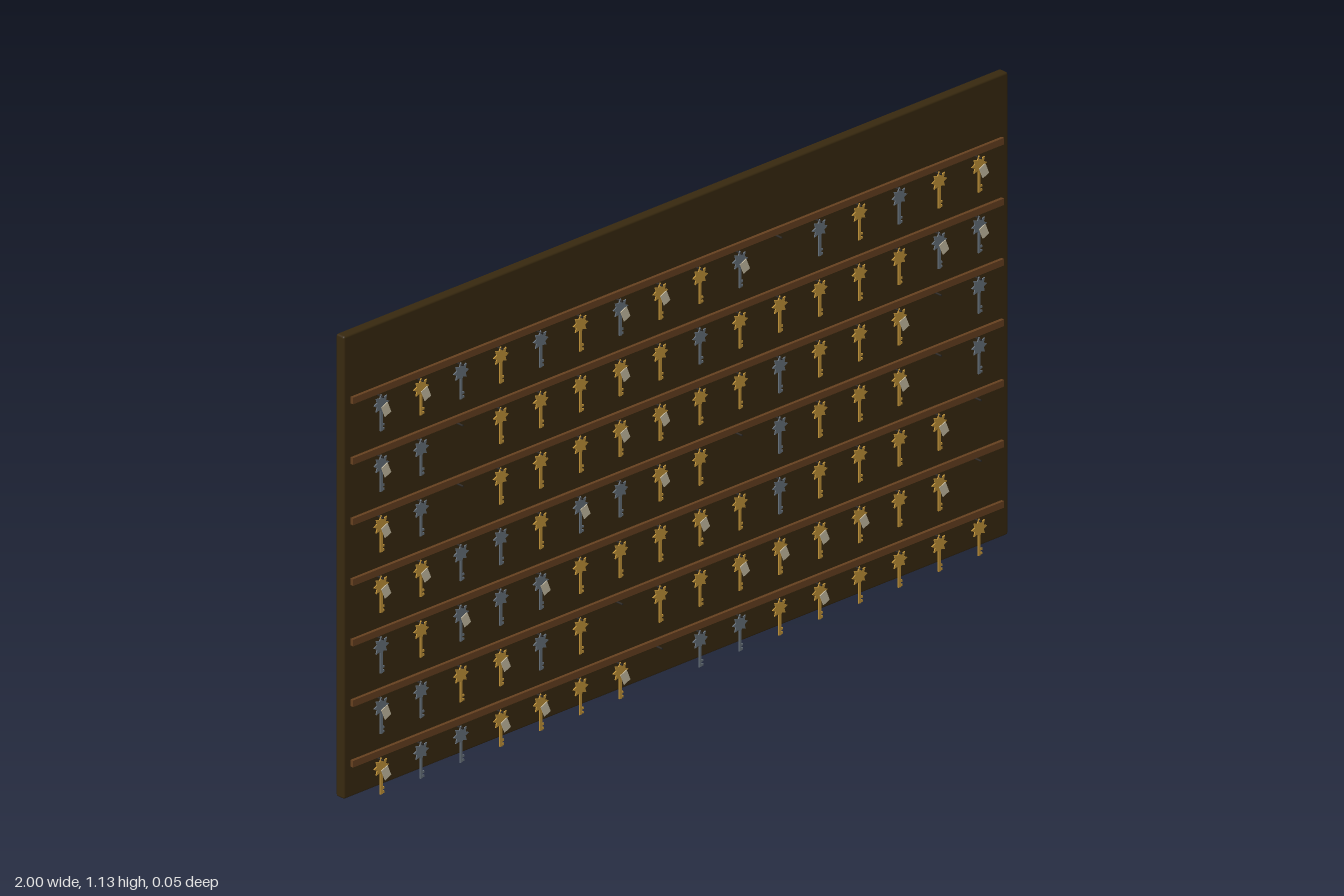
import * as THREE from 'three';
import { RoundedBoxGeometry } from 'three/addons/geometries/RoundedBoxGeometry.js';

const mat = (name, color) => {
  const m = new THREE.MeshStandardMaterial({ color });
  m.name = name;
  return m;
};

// One letter per hook: g brass key, s steel key, capital = with paper tag, dot = empty
const ROWS = [
  'SGsgsgSGgS.sgsgG',
  'Ss.gggGgsgggggSS',
  'Gs.gggGGggsggG.s',
  'GGssgSsGg.sggG.s',
  'sgSsSgggGgsgggG.',
  'SsgGsg.ggGGGGgG.',
  'GssGGgG.ssgGgggg',
];

// Flat, pointed key bow
function bowGeometry() {
  const shape = new THREE.Shape();
  for (let i = 0; i < 16; i++) {
    const r = i % 2 ? 0.014 : 0.023;
    const a = (i / 16) * Math.PI * 2;
    const x = Math.sin(a) * r, y = Math.cos(a) * r;
    if (i) shape.lineTo(x, y); else shape.moveTo(x, y);
  }
  shape.closePath();
  return new THREE.ExtrudeGeometry(shape, { depth: 0.003, bevelEnabled: false });
}

export function createModel() {
  const group = new THREE.Group();
  const wood = mat('darkWood', 0x38290f);
  const railWood = mat('railWood', 0x66401f);
  const brass = mat('brass', 0xc09238);
  const steel = mat('steel', 0x66707a);
  const iron = mat('iron', 0x2b2723);
  const paper = mat('paper', 0xc8bea4);

  const add = (parent, name, geo, material, x, y, z) => {
    const m = new THREE.Mesh(geo, material);
    m.name = name;
    m.position.set(x, y, z);
    parent.add(m);
    return m;
  };

  // Backing board with softened edges
  add(group, 'board', new RoundedBoxGeometry(2, 1.117, 0.026, 2, 0.005), wood, 0, 0.5735, -0.009);

  const railGeo = new THREE.BoxGeometry(1.96, 0.016, 0.008);
  const hookGeo = new THREE.CylinderGeometry(0.0025, 0.0025, 0.02, 6).rotateX(Math.PI / 2);
  const bowGeo = bowGeometry();
  const shaftGeo = new THREE.BoxGeometry(0.007, 0.05, 0.003);
  const bitGeo = new THREE.BoxGeometry(0.007, 0.005, 0.003);
  const tagGeo = new THREE.BoxGeometry(0.02, 0.028, 0.002);

  // Key hanging from its hook, origin at the hook
  function makeKey(material, tagged) {
    const key = new THREE.Group();
    key.name = 'key';
    add(key, 'bow', bowGeo, material, 0, -0.018, -0.0015);
    add(key, 'shaft', shaftGeo, material, 0, -0.059, 0);
    for (const y of [-0.07, -0.08]) add(key, 'bit', bitGeo, material, 0.005, y, 0);
    if (tagged) add(key, 'tag', tagGeo, paper, 0.012, -0.035, 0.003).rotation.z = 0.4;
    return key;
  }

  ROWS.forEach((row, r) => {
    const y = 0.974 - r * 0.1462;
    add(group, 'rail', railGeo, railWood, 0, y, 0.008);
    [...row].forEach((c, i) => {
      const x = -0.9 + i * 0.12;
      add(group, 'hook', hookGeo, iron, x, y - 0.012, 0.014);
      if (c === '.') return;
      const key = makeKey(c.toLowerCase() === 'g' ? brass : steel, c !== c.toLowerCase());
      key.position.set(x, y - 0.012, 0.017);
      group.add(key);
    });
  });
  return group;
}
